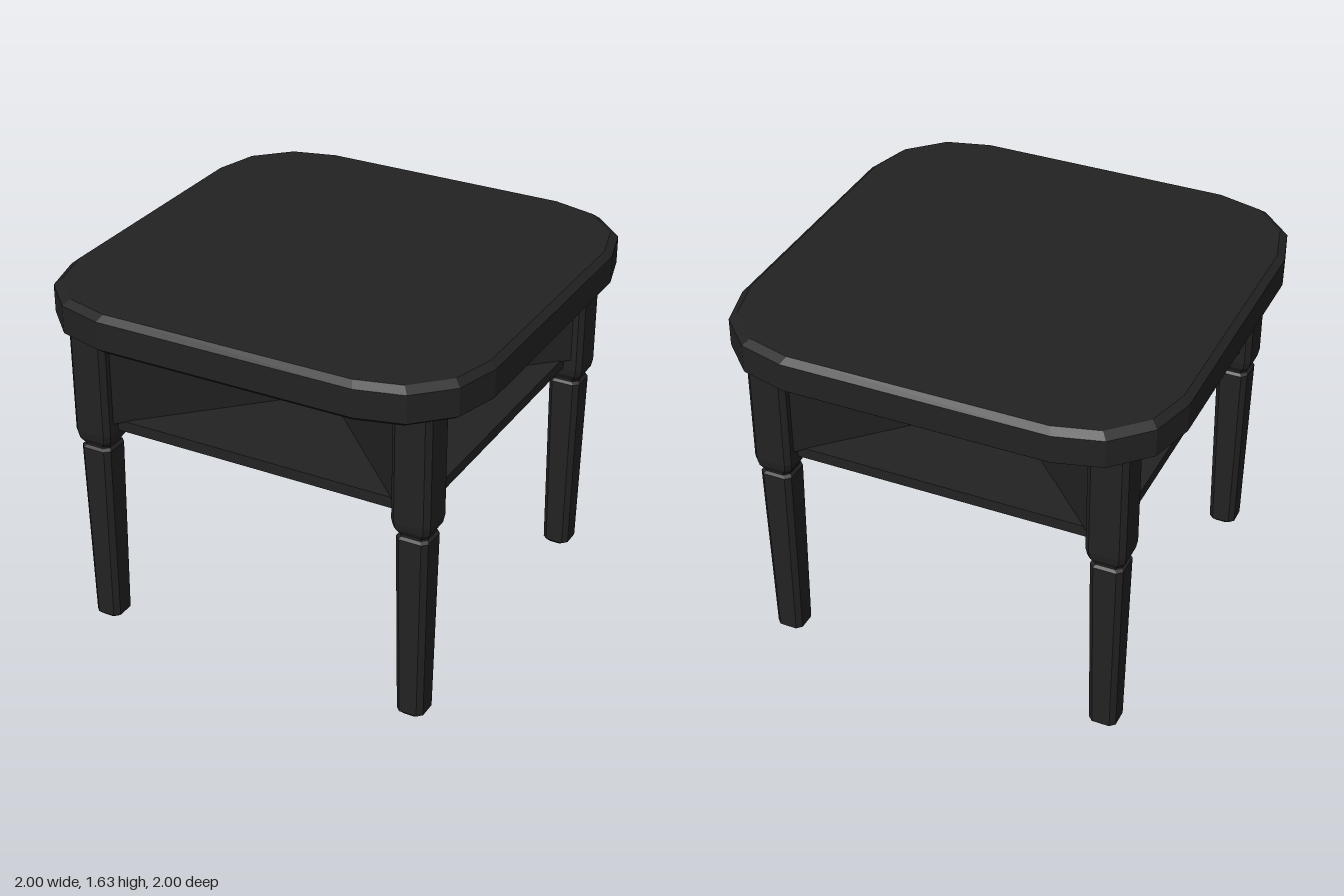
import * as THREE from 'three';

const black = new THREE.MeshStandardMaterial({ color: 0x222222 });
black.name = 'black paint';

// Square of half-width h with each corner cut by the given [along, across] insets
function outline(h, insets) {
  const corner = insets.map(([a, b]) => [h - a, h - b]);
  const pts = [];
  for (let q = 0; q < 4; q++) {
    for (const [x, z] of corner) {
      pts.push([[x, z], [-z, x], [-x, -z], [z, -x]][q]);
    }
  }
  return pts;
}

// Faceted solid through stacked rings of { y, pts }, lowest first, capped at both ends
function loft(rings) {
  const pos = [];
  const n = rings[0].pts.length;
  const at = (r, i) => {
    const [x, z] = rings[r].pts[i % n];
    return [x, rings[r].y, z];
  };
  const last = rings.length - 1;
  for (let i = 0; i < n; i++) {
    for (let r = 0; r < last; r++) {
      const a = at(r, i), b = at(r, i + 1), c = at(r + 1, i + 1), d = at(r + 1, i);
      pos.push(...a, ...c, ...b, ...a, ...d, ...c);
    }
    pos.push(0, rings[0].y, 0, ...at(0, i), ...at(0, i + 1));
    pos.push(0, rings[last].y, 0, ...at(last, i + 1), ...at(last, i));
  }
  const g = new THREE.BufferGeometry();
  g.setAttribute('position', new THREE.Float32BufferAttribute(pos, 3));
  g.computeVertexNormals();
  return g;
}

function add(parent, name, geometry, x = 0, y = 0, z = 0) {
  const mesh = new THREE.Mesh(geometry, black);
  mesh.name = name;
  mesh.position.set(x, y, z);
  parent.add(mesh);
  return mesh;
}

export function createModel() {
  const table = new THREE.Group();
  table.name = 'sideTable';

  // Thick top with rounded corners and bevelled rims
  const corner = [[0, 0.41], [0.055, 0.205], [0.205, 0.055], [0.41, 0]];
  const topRings = [[1.46, 0.97], [1.485, 1], [1.61, 1], [1.635, 0.97]];
  add(table, 'tableTop', loft(topRings.map(([y, h]) => ({
    y, pts: outline(h, corner.map(([a, b]) => [a * h, b * h])),
  }))));

  // Chamfered legs: tapered foot, narrow neck, square upper block
  const legRings = [
    [0, 0.045], [0.018, 0.062], [0.88, 0.073], [0.892, 0.063], [0.9, 0.063],
    [0.908, 0.068], [0.93, 0.082], [0.965, 0.088], [1.465, 0.088],
  ];
  const leg = loft(legRings.map(([y, h]) => ({ y, pts: outline(h, [[0, 0.022], [0.022, 0]]) })));
  for (const x of [-1, 1]) {
    for (const z of [-1, 1]) {
      add(table, `${z > 0 ? 'front' : 'back'}${x > 0 ? 'Left' : 'Right'}Leg`, leg, x * 0.765, 0, z * 0.765);
    }
  }

  // Lower shelf between the legs
  add(table, 'shelf', new THREE.BoxGeometry(1.54, 0.05, 1.54), 0, 0.995, 0);

  // Crossed dividers running diagonally from leg to leg
  const divider = new THREE.BoxGeometry(2.16, 0.45, 0.18);
  for (const s of [-1, 1]) {
    add(table, 'diagonalDivider', divider, 0, 1.24, 0).rotation.y = s * Math.PI / 4;
  }

  return table;
}
